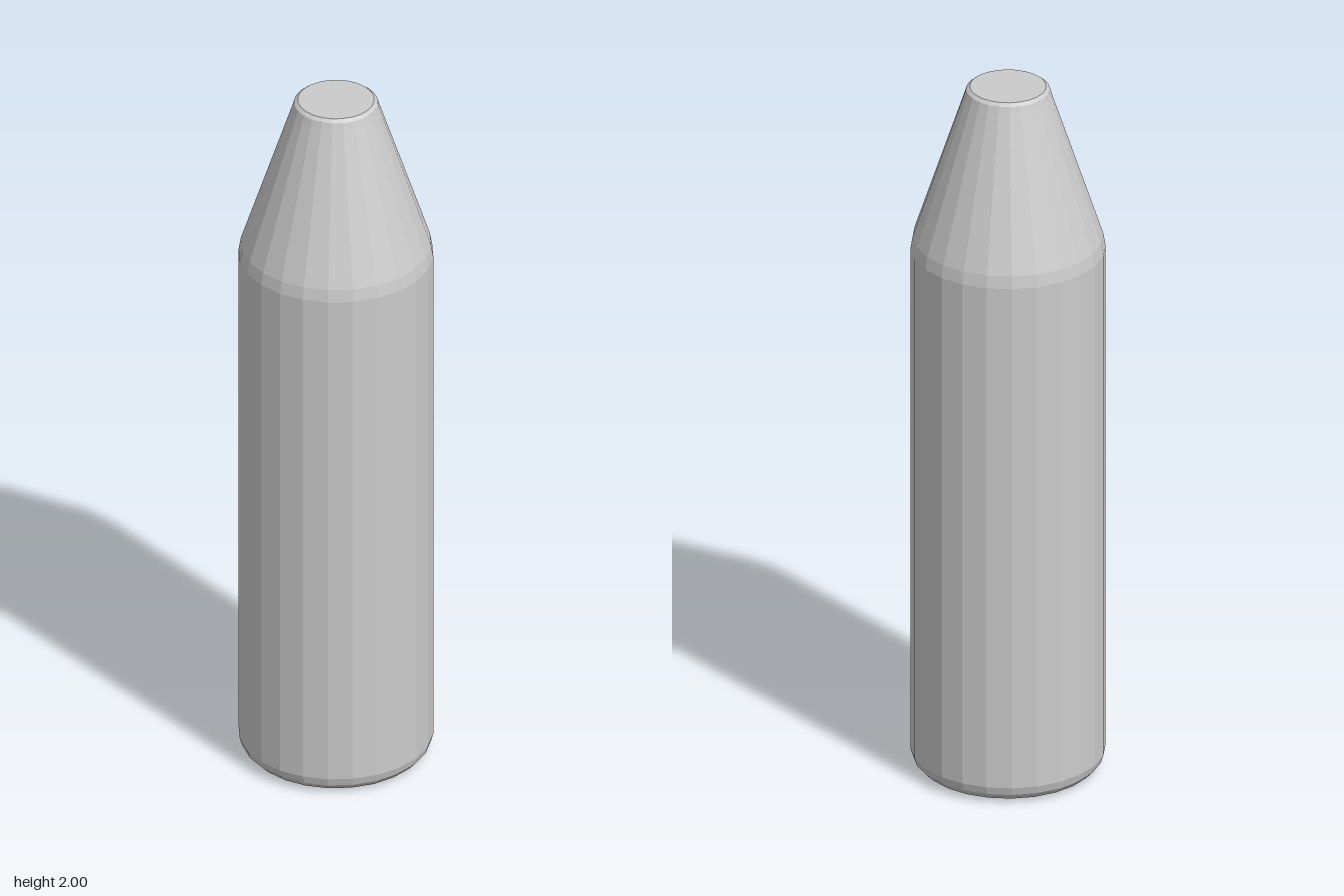
import * as THREE from 'three';

export function createModel() {
  const group = new THREE.Group();
  const material = new THREE.MeshStandardMaterial({ color: 0xcccccc, flatShading: true });

  // Radius and height, from the centre of the base to the centre of the tip
  const profile = [
    [0, 0], [0.215, 0], [0.235, 0.008], [0.253, 0.027], [0.26, 0.05], // rounded base
    [0.26, 1.525], [0.254, 1.56], // straight barrel and soft shoulder
    [0.117, 1.975], [0.112, 1.992], [0.102, 2], [0, 2], // tapered nose, blunt tip
  ].map(([r, y]) => new THREE.Vector2(r, y));

  // One closed faceted body
  const body = new THREE.Mesh(new THREE.LatheGeometry(profile, 24), material);
  body.name = 'taperedBody';
  group.add(body);

  return group;
}
